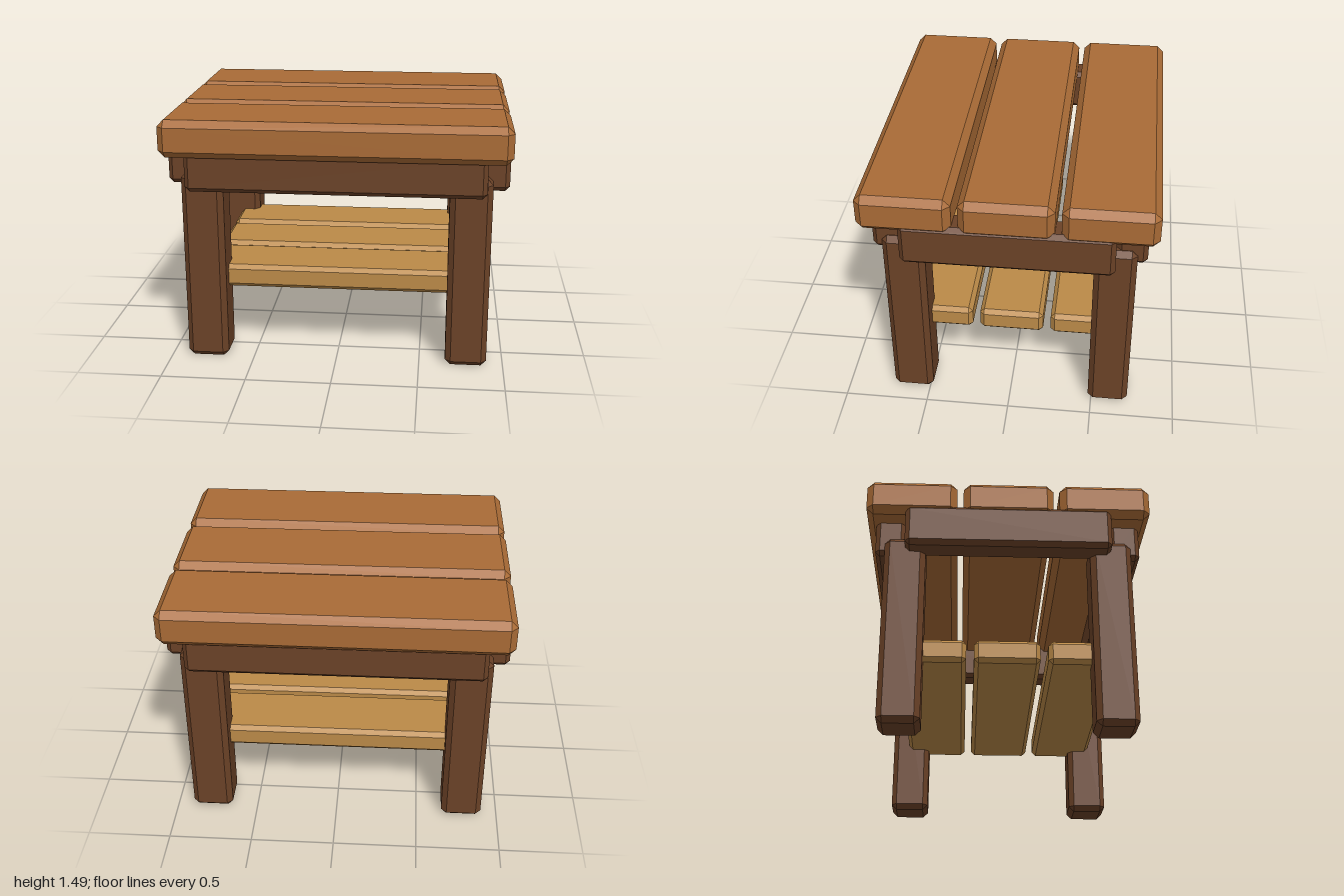
import * as THREE from 'three';
import { ConvexGeometry } from 'three/addons/geometries/ConvexGeometry.js';

const topWood = new THREE.MeshStandardMaterial({ color: 0xa96b36 });
const frameWood = new THREE.MeshStandardMaterial({ color: 0x6b4227 });
const shelfWood = new THREE.MeshStandardMaterial({ color: 0xbb8a48 });

// Box with every edge and corner cut by a flat chamfer c
function chamferBox(w, h, d, c) {
  const points = [];
  for (const sx of [-1, 1]) for (const sy of [-1, 1]) for (const sz of [-1, 1]) {
    for (let full = 0; full < 3; full++) {
      const half = [w, h, d].map((size, axis) => size / 2 - (axis === full ? 0 : c));
      points.push(new THREE.Vector3(sx * half[0], sy * half[1], sz * half[2]));
    }
  }
  return new ConvexGeometry(points);
}

export function createModel() {
  const table = new THREE.Group();
  table.name = 'slattedTable';

  const add = (name, geometry, material, x, y, z) => {
    const mesh = new THREE.Mesh(geometry, material);
    mesh.name = name;
    mesh.position.set(x, y, z);
    table.add(mesh);
  };

  // Three thick top planks and three shelf slats
  const plank = chamferBox(2, 0.22, 0.53, 0.04);
  const slat = chamferBox(1.56, 0.14, 0.38, 0.025);
  for (const i of [-1, 0, 1]) {
    add('topPlank', plank, topWood, 0, 1.38, i * 0.566);
    add('shelfSlat', slat, shelfWood, 0, 0.49, i * 0.425);
  }

  // Aprons under the top: long ones front and back, short ones at the sides
  const longApron = chamferBox(1.73, 0.26, 0.175, 0.027);
  const sideApron = chamferBox(0.17, 0.26, 1.2, 0.027);
  // Four legs
  const leg = chamferBox(0.245, 1.157, 0.24, 0.032);
  for (const s of [-1, 1]) {
    add(s > 0 ? 'frontApron' : 'backApron', longApron, frameWood, 0, 1.19, s * 0.689);
    add(s > 0 ? 'leftApron' : 'rightApron', sideApron, frameWood, s * 0.914, 1.19, 0);
    for (const t of [-1, 1]) {
      add(t > 0 ? 'frontLeg' : 'backLeg', leg, frameWood, s * 0.778, 0.5785, t * 0.6);
    }
  }
  return table;
}
